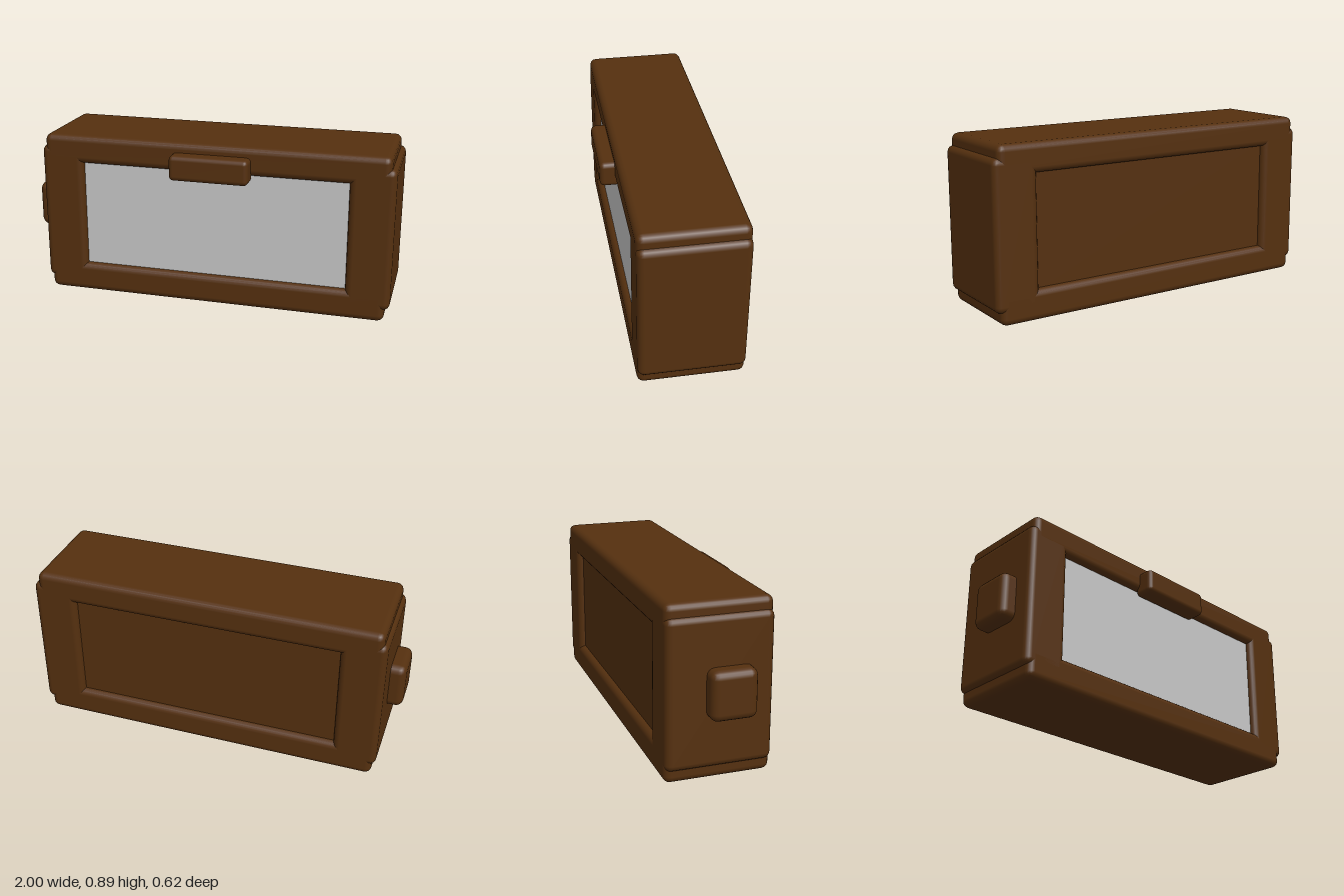
import * as THREE from 'three';
import { RoundedBoxGeometry } from 'three/addons/geometries/RoundedBoxGeometry.js';

export function createModel() {
  const model = new THREE.Group();
  const wood = new THREE.MeshStandardMaterial({ color: 0x55300f });
  wood.name = 'dark brown wood';
  const glass = new THREE.MeshStandardMaterial({ color: 0xc8c8c8 });
  glass.name = 'pale grey glass';

  // Rounded block given by its lowest and highest corner
  function block(name, min, max, radius) {
    const s = max.map((v, i) => v - min[i]);
    const mesh = new THREE.Mesh(new RoundedBoxGeometry(s[0], s[1], s[2], 2, radius), wood);
    mesh.position.set(...max.map((v, i) => (v + min[i]) / 2));
    mesh.name = name;
    model.add(mesh);
  }

  const back = -0.31, front = 0.235;

  // Frame: long rails above and below, wide end posts
  block('bottomRail', [-0.9, 0, back], [0.97, 0.16, front], 0.035);
  block('topRail', [-0.9, 0.74, back], [0.97, 0.893, front], 0.035);
  block('rightPost', [-0.92, 0.065, back], [-0.685, 0.83, front], 0.035);
  block('leftPost', [0.76, 0.065, back], [0.997, 0.83, front], 0.035);

  // Recessed wooden back panel
  const panel = new THREE.Mesh(new THREE.BoxGeometry(1.5, 0.64, 0.06), wood);
  panel.position.set(0.0375, 0.45, back + 0.065);
  panel.name = 'backPanel';
  model.add(panel);

  // Recessed glass window
  const pane = new THREE.Mesh(new THREE.BoxGeometry(1.5, 0.64, 0.03), glass);
  pane.position.set(0.0375, 0.45, front - 0.05);
  pane.name = 'frontWindow';
  model.add(pane);

  // Front handle and side knob
  block('frontHandle', [-0.175, 0.707, 0.2], [0.25, 0.842, 0.312], 0.025);
  block('sideKnob', [-1, 0.325, -0.11], [-0.87, 0.577, 0.127], 0.04);

  return model;
}
